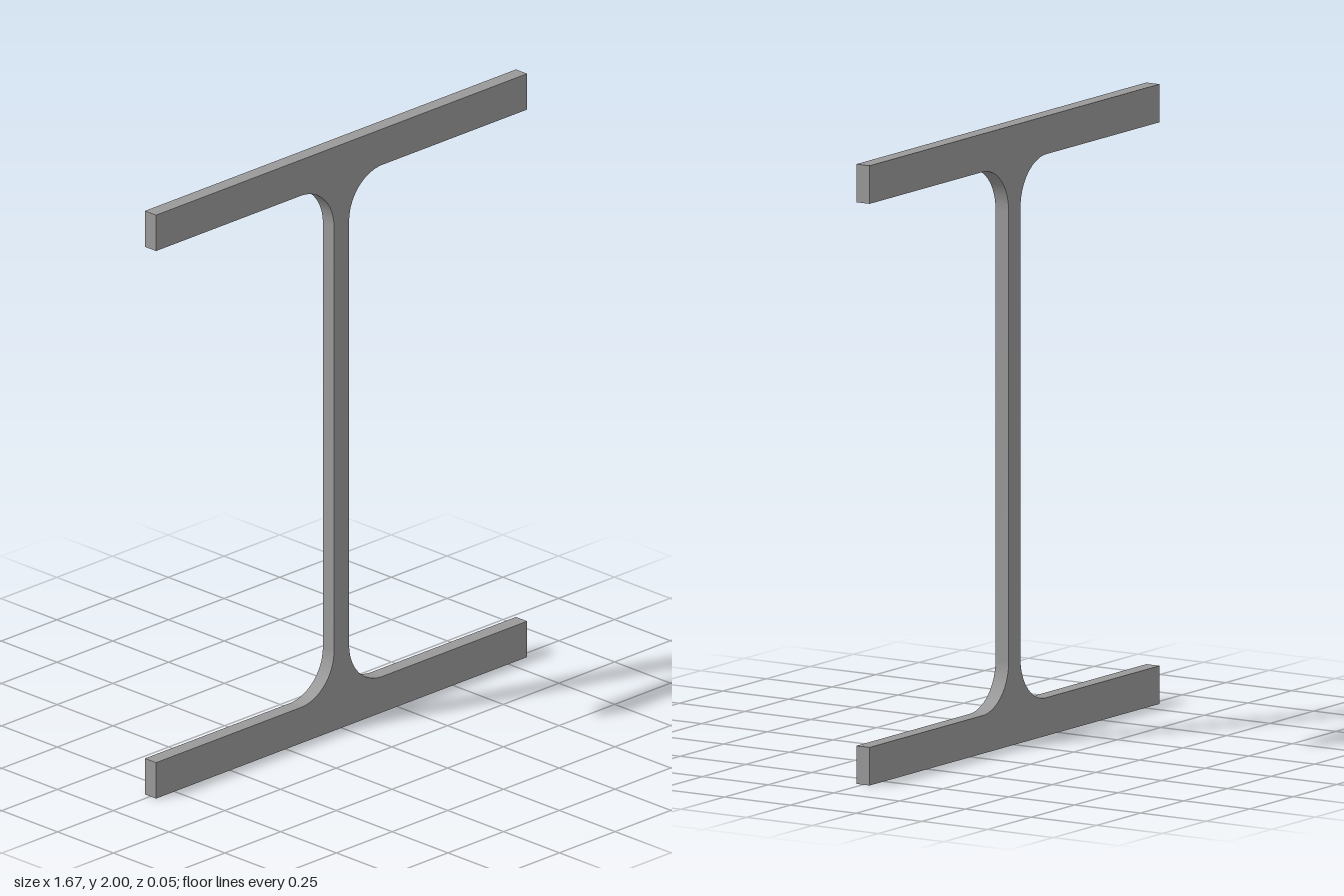
import * as THREE from 'three';
import { toCreasedNormals } from 'three/addons/utils/BufferGeometryUtils.js';

const HEIGHT = 2;
const HALF_WIDTH = 0.833;
const FLANGE = 0.123;
const HALF_WEB = 0.034;
const FILLET = 0.15;
const DEPTH = 0.05;

// I-section outline, counter-clockwise, with a rounded fillet at each web root
function beamProfile() {
  const low = FLANGE, high = HEIGHT - FLANGE;
  const cx = HALF_WEB + FILLET;
  const shape = new THREE.Shape();
  shape.moveTo(-HALF_WIDTH, 0);
  shape.lineTo(HALF_WIDTH, 0);
  shape.lineTo(HALF_WIDTH, low);
  shape.absarc(cx, low + FILLET, FILLET, -Math.PI / 2, -Math.PI, true);
  shape.absarc(cx, high - FILLET, FILLET, Math.PI, Math.PI / 2, true);
  shape.lineTo(HALF_WIDTH, high);
  shape.lineTo(HALF_WIDTH, HEIGHT);
  shape.lineTo(-HALF_WIDTH, HEIGHT);
  shape.lineTo(-HALF_WIDTH, high);
  shape.absarc(-cx, high - FILLET, FILLET, Math.PI / 2, 0, true);
  shape.absarc(-cx, low + FILLET, FILLET, 0, -Math.PI / 2, true);
  shape.lineTo(-HALF_WIDTH, low);
  shape.closePath();
  return shape;
}

export function createModel() {
  const steel = new THREE.MeshStandardMaterial({ color: 0x999999 });
  steel.name = 'steel grey';

  // Thin slice of beam, centred in depth
  const geometry = new THREE.ExtrudeGeometry(beamProfile(), {
    depth: DEPTH, bevelEnabled: false, curveSegments: 16,
  });
  geometry.translate(0, 0, -DEPTH / 2);

  const beam = new THREE.Mesh(toCreasedNormals(geometry, Math.PI / 6), steel);
  beam.name = 'beamSection';

  const group = new THREE.Group();
  group.name = 'steelBeam';
  group.add(beam);
  return group;
}
